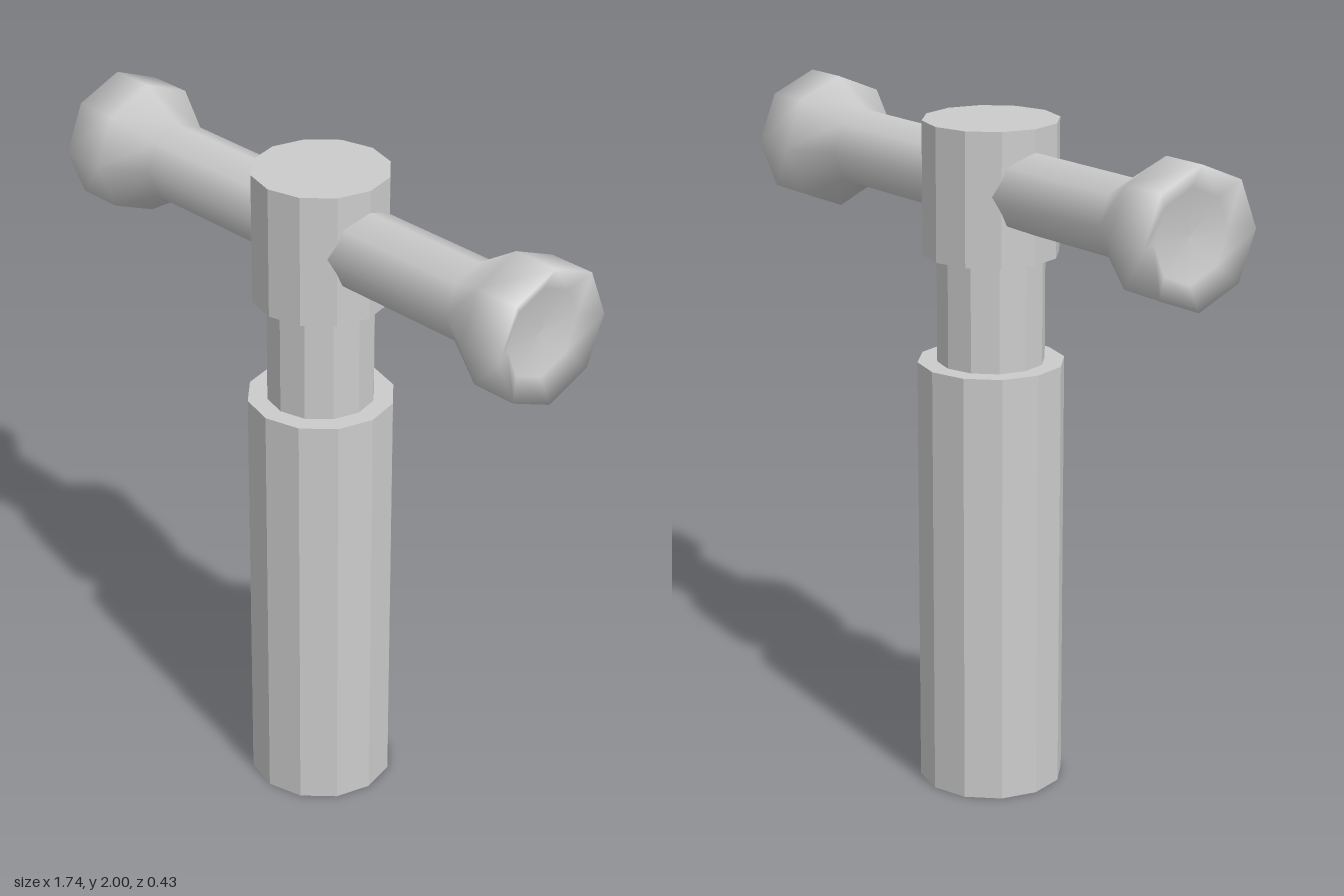
import * as THREE from 'three';

const faceted = new THREE.MeshStandardMaterial({ color: 0xcccccc, flatShading: true });
const smooth = new THREE.MeshStandardMaterial({ color: 0xcccccc });

// Upright twelve-sided column between two heights
function column(name, radius, bottom, top) {
  const mesh = new THREE.Mesh(new THREE.CylinderGeometry(radius, radius, top - bottom, 12), faceted);
  mesh.name = name;
  mesh.position.y = (bottom + top) / 2;
  return mesh;
}

export function createModel() {
  const group = new THREE.Group();
  group.name = 'mallet';

  group.add(
    column('handle', 0.213, 0, 1.285),
    column('neck', 0.156, 1.285, 1.6),
    column('hub', 0.196, 1.6, 1.985)
  );

  // Half profile: shallow dished face, rim, flare and shaft
  const half = [[0, 0.825], [0.13, 0.832], [0.197, 0.868], [0.197, 0.73], [0.117, 0.6]];
  const profile = [
    ...half.map(([r, d]) => new THREE.Vector2(r, -d)),
    ...half.slice().reverse().map(([r, d]) => new THREE.Vector2(r, d))
  ];

  // Eight-sided crosswise striking bar through the hub
  const bar = new THREE.Mesh(new THREE.LatheGeometry(profile, 8), smooth);
  bar.name = 'strikingBar';
  bar.rotation.z = -Math.PI / 2;
  bar.position.y = 1.803;
  group.add(bar);

  return group;
}
